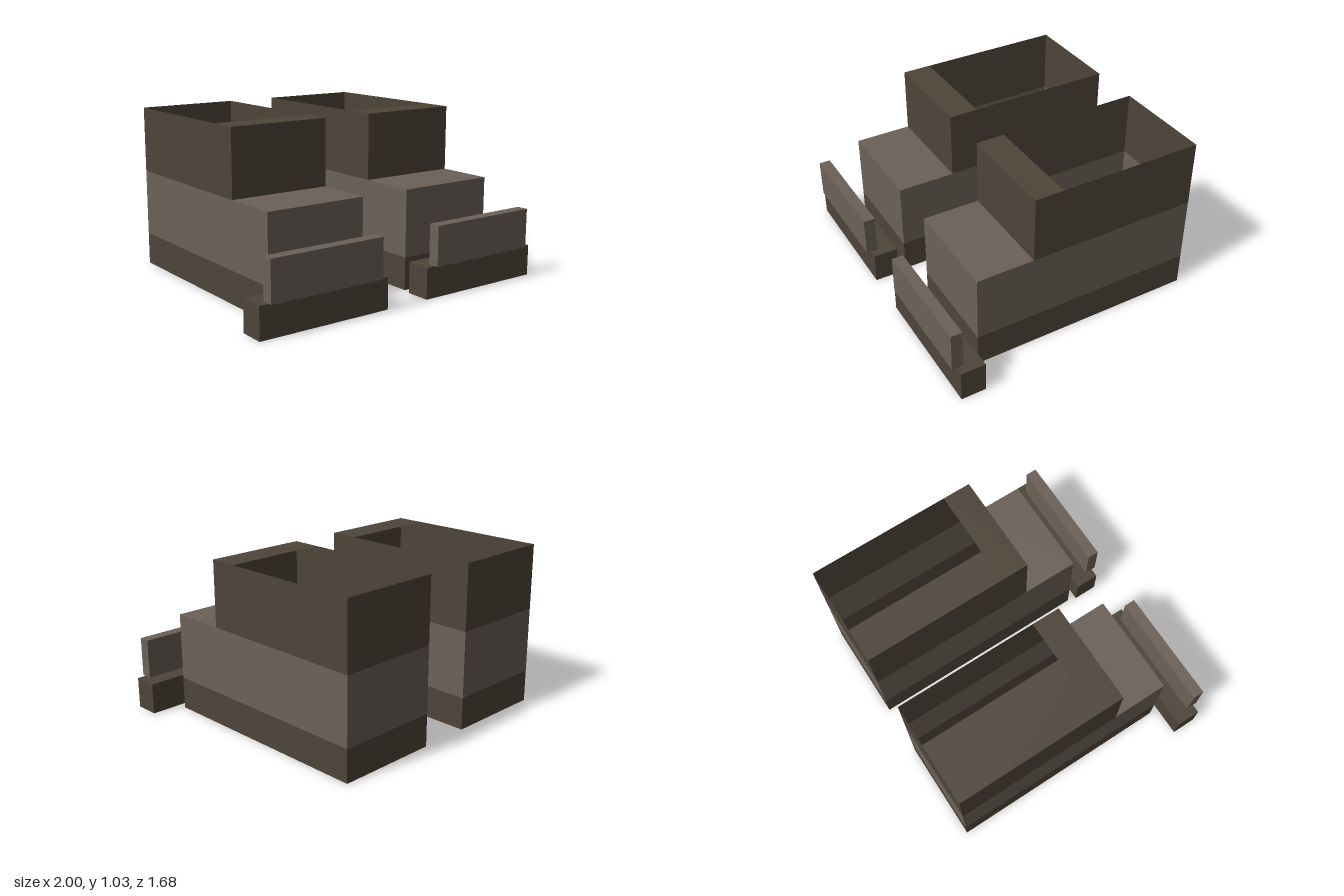
import * as THREE from 'three';

const dark = new THREE.MeshStandardMaterial({ color: 0x4e4539, side: THREE.DoubleSide });
dark.name = 'dark brown';
const light = new THREE.MeshStandardMaterial({ color: 0x6c6158, side: THREE.DoubleSide });
light.name = 'light brown';

// Box between two corners; open lists the faces left out (2 = top, 3 = bottom)
function block(name, material, [x0, x1], [y0, y1], [z0, z1], open = []) {
  const geometry = new THREE.BoxGeometry(x1 - x0, y1 - y0, z1 - z0);
  const index = Array.from(geometry.index.array).filter((v, i) => !open.includes(Math.floor(i / 6)));
  geometry.setIndex(index);
  geometry.clearGroups();
  geometry.translate((x0 + x1) / 2, (y0 + y1) / 2, (z0 + z1) / 2);
  const mesh = new THREE.Mesh(geometry, material);
  mesh.name = name;
  return mesh;
}

// Flat horizontal panel facing up
function panel(name, material, [x0, x1], y, [z0, z1]) {
  const geometry = new THREE.PlaneGeometry(x1 - x0, z1 - z0).rotateX(-Math.PI / 2);
  geometry.translate((x0 + x1) / 2, y, (z0 + z1) / 2);
  const mesh = new THREE.Mesh(geometry, material);
  mesh.name = name;
  return mesh;
}

function createBoot(side) {
  const boot = new THREE.Group();
  boot.name = side > 0 ? 'leftBoot' : 'rightBoot';
  const span = (a, b) => (side > 0 ? [a, b] : [-b, -a]);
  const x = span(0.163, 0.807);
  const back = -0.84, shin = 0.243, toe = 0.603;

  boot.add(
    // hollow boot in three bands
    block('sole', dark, x, [0, 0.202], [back, toe], [2]),
    block('foot', light, x, [0.202, 0.616], [back, toe], [2, 3]),
    block('shaft', dark, x, [0.616, 1.027], [back, shin], [2, 3]),
    // closed top of the toe and front lip of the shaft
    panel('instep', light, x, 0.616, [shin, toe]),
    panel('shaftLip', dark, x, 1.027, [0.063, shin]),
    // separate guard in front of the toe
    block('guardBase', dark, span(0.147, 1), [0, 0.193], [0.66, 0.815]),
    block('guardPlate', light, span(0.204, 0.944), [0.193, 0.438], [0.768, 0.84])
  );
  return boot;
}

export function createModel() {
  const model = new THREE.Group();
  model.name = 'boots';
  for (const side of [1, -1]) model.add(createBoot(side));
  return model;
}
